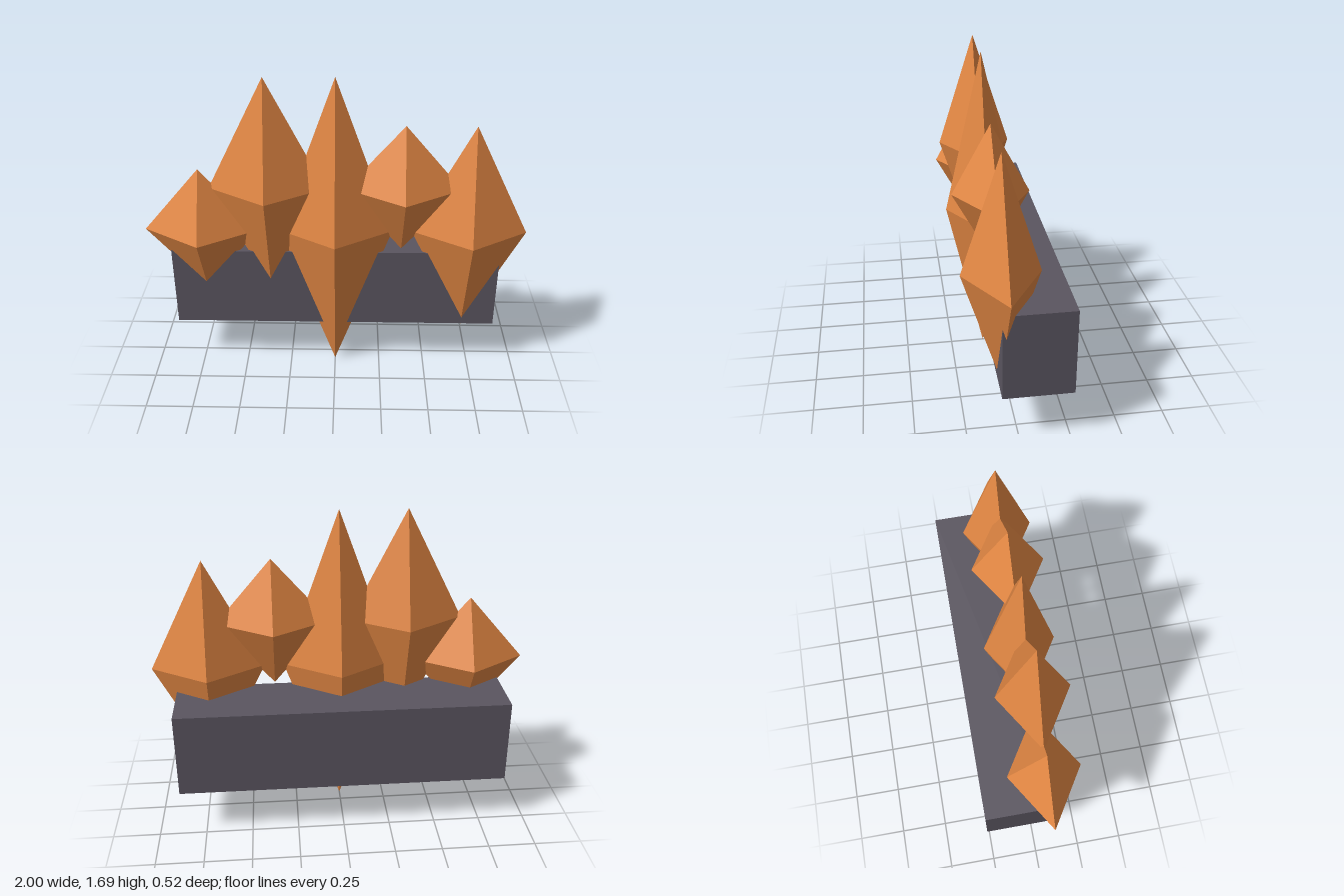
import * as THREE from 'three';

const crystalMaterial = new THREE.MeshStandardMaterial({ color: 0xe28743, flatShading: true });
const baseMaterial = new THREE.MeshStandardMaterial({ color: 0x5a5560, flatShading: true });

// Four-sided double pyramid, stretched by its half height
function makeCrystal(name, x, y, halfHeight) {
  const geometry = new THREE.OctahedronGeometry(1);
  geometry.scale(0.3, halfHeight, 0.19);
  const crystal = new THREE.Mesh(geometry, crystalMaterial);
  crystal.name = name;
  crystal.position.set(x, y, 0.07);
  return crystal;
}

export function createModel() {
  const model = new THREE.Group();
  model.name = 'crystalRow';

  // Block behind the crystals
  const block = new THREE.Mesh(new THREE.BoxGeometry(1.75, 0.455, 0.35), baseMaterial);
  block.name = 'baseBlock';
  block.position.set(0, 0.4925, -0.087);
  model.add(block);

  // Row of crystals: centre height, half height
  const crystals = [
    [0.843, 0.35],
    [1.088, 0.595],
    [0.843, 0.843],
    [1.088, 0.35],
    [0.843, 0.595],
  ];
  crystals.forEach(([y, halfHeight], i) => {
    model.add(makeCrystal(`crystal${i + 1}`, (i - 2) * 0.35, y, halfHeight));
  });

  return model;
}
